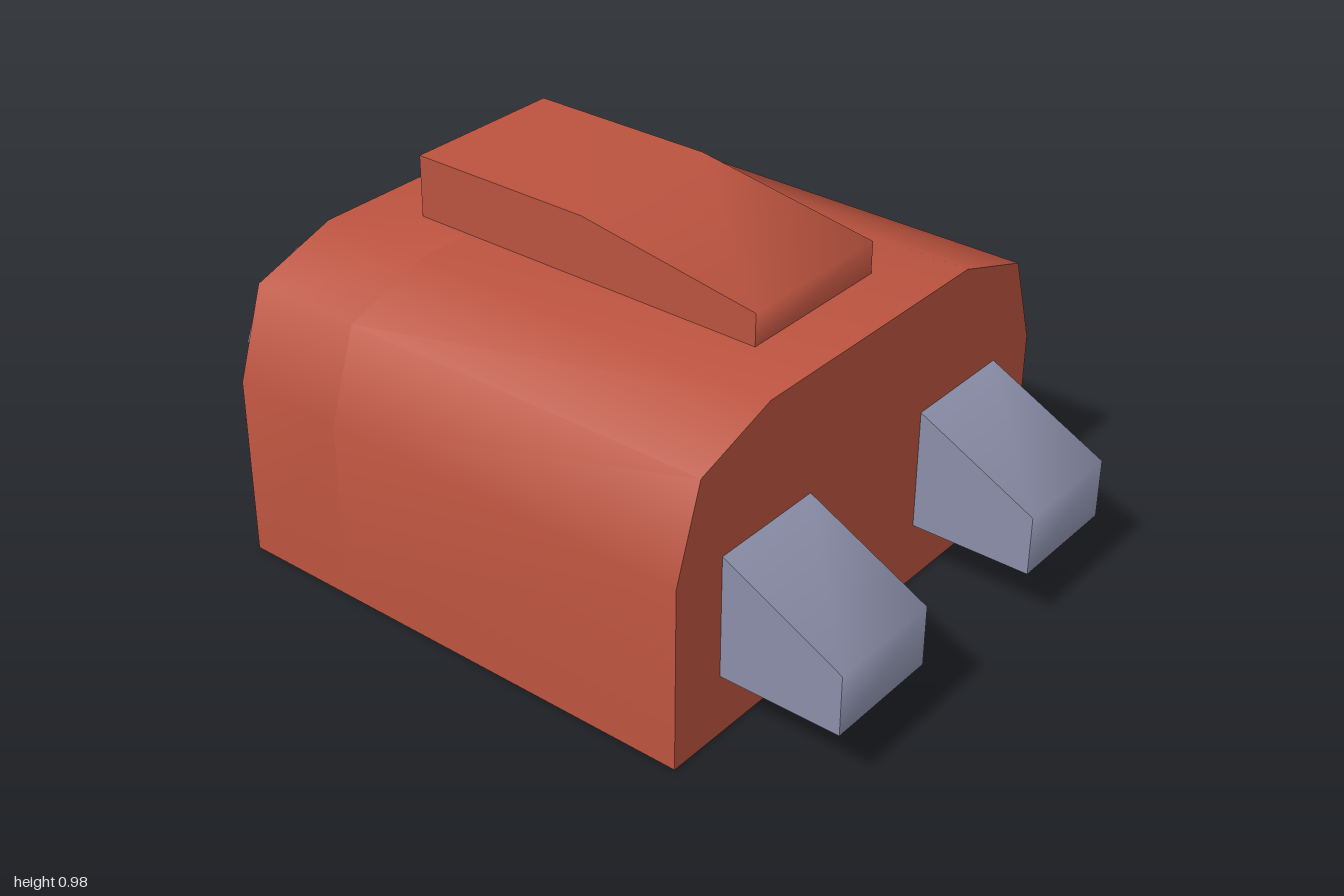
import * as THREE from 'three';
import { toCreasedNormals } from 'three/addons/utils/BufferGeometryUtils.js';

const BACK = -0.685, BAY = -0.365, FRONT = 0.675;

// Half profiles (right half, bottom to top); mirrored for the full arch
const OUTER = [[0.71, 0], [0.71, 0.49], [0.63, 0.73], [0.39, 0.81]];
const INNER = [[0.55, 0], [0.55, 0.46], [0.505, 0.6], [0.365, 0.65]];

const mirrored = (half) => [...half, ...half.map(([x, y]) => [-x, y]).reverse()];
const toShape = (pts) => new THREE.Shape(pts.map(([x, y]) => new THREE.Vector2(x, y)));
const archShape = (outer, inner) => toShape([...mirrored(outer), ...mirrored(inner).reverse()]);

// Extrude with soft normals across the profile bends, sharp at right angles
function extrude(shape, depth) {
  const geo = new THREE.ExtrudeGeometry(shape, { depth, bevelEnabled: false });
  return toCreasedNormals(geo, 1.48);
}

// Side profile given as (z, y), extruded along x and centred on x = 0
function sideExtrude(pts, width) {
  return extrude(toShape(pts), width).translate(0, 0, -width / 2).rotateY(-Math.PI / 2);
}

export function createModel() {
  const red = new THREE.MeshStandardMaterial({ name: 'red', color: 0xbb533f });
  const grey = new THREE.MeshStandardMaterial({ name: 'blueGrey', color: 0x8a8ea8 });
  const dark = new THREE.MeshStandardMaterial({ name: 'darkGrey', color: 0x45464f });

  const model = new THREE.Group();
  model.name = 'enginePod';
  const add = (name, geo, mat, x = 0, y = 0, z = 0, parent = model) => {
    const mesh = new THREE.Mesh(geo, mat);
    mesh.name = name;
    mesh.position.set(x, y, z);
    parent.add(mesh);
    return mesh;
  };

  // Body: solid front, hollow rear arch open at the bottom
  add('hull', extrude(toShape(mirrored(OUTER)), FRONT - BAY), red, 0, 0, BAY);
  add('rearArch', extrude(archShape(OUTER, INNER), BAY - BACK), red, 0, 0, BACK);

  // Grey rim, lining and end wall of the engine bay
  const rim = new THREE.ShapeGeometry(archShape(OUTER, INNER)).rotateY(Math.PI);
  add('bayRim', rim, grey, 0, 0, BACK - 0.002);
  const liner = INNER.map(([x, y]) => [x - 0.004, y === 0 ? 0 : y - 0.004]);
  add('bayLining', extrude(archShape(INNER, liner), BAY - BACK), grey, 0, 0, BACK - 0.001);
  const wall = new THREE.ShapeGeometry(toShape(mirrored(INNER))).rotateY(Math.PI);
  add('bayWall', wall, grey, 0, 0, BAY - 0.002);

  // Roof scoop, sloping down to the front
  add('roofScoop', sideExtrude(
    [[-0.52, 0.8], [0.51, 0.8], [0.51, 0.895], [0, 0.975], [-0.52, 0.975]], 0.455), red);

  // Wedge-shaped front blocks and waisted octagonal engines, one per side
  const wedge = sideExtrude([[FRONT, 0.165], [1, 0.165], [1, 0.325], [FRONT, 0.49]], 0.325);
  const nozzle = new THREE.LatheGeometry(
    [[0.2, 0.365], [0.2, 0.5], [0.16, 0.67], [0.2, 0.835], [0.2, 1]]
      .map(([r, y]) => new THREE.Vector2(r, y)), 8).rotateX(-Math.PI / 2);
  const exhaust = new THREE.CircleGeometry(0.2, 8).rotateY(Math.PI);
  for (const [side, s] of [['left', 1], ['right', -1]]) {
    add(side + 'FrontWedge', wedge, grey, s * 0.3875);
    const engine = new THREE.Group();
    engine.name = side + 'Engine';
    engine.position.set(s * 0.225, 0.367, 0);
    add(side + 'Nozzle', nozzle, grey, 0, 0, 0, engine);
    add(side + 'Exhaust', exhaust, dark, 0, 0, -1, engine);
    model.add(engine);
  }
  return model;
}
